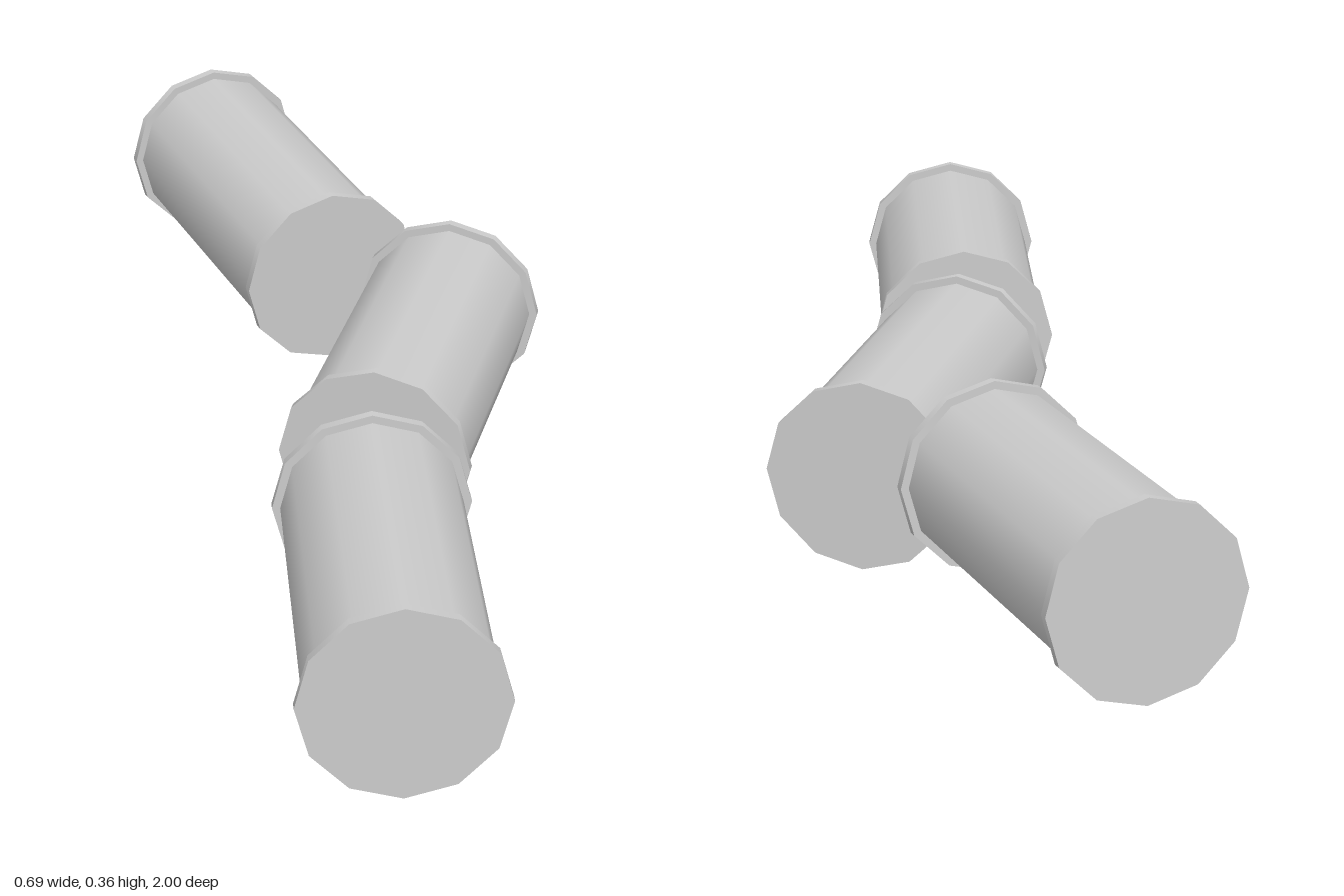
import * as THREE from 'three';

const SIDES = 12;
const LENGTH = 0.605;
const RIM = { radius: 0.157, thickness: 0.016 };
const BODY_RADIUS = 0.144;

const material = new THREE.MeshStandardMaterial({ color: 0xcccccc });

// Cylinder lying along z, with a corner pointing straight up
function lyingCylinder(name, radius, length, z, open) {
  const geometry = new THREE.CylinderGeometry(radius, radius, length, SIDES, 1, open);
  geometry.rotateX(Math.PI / 2);
  const mesh = new THREE.Mesh(geometry, material);
  mesh.name = name;
  mesh.position.z = z;
  return mesh;
}

// One closed can: smooth body with a raised, capped rim at each end
function makeCan(name, front, back) {
  const can = new THREE.Group();
  can.name = name;
  const rimZ = (LENGTH - RIM.thickness) / 2;
  can.add(
    lyingCylinder('body', BODY_RADIUS, LENGTH - 2 * RIM.thickness, 0, true),
    lyingCylinder('frontRim', RIM.radius, RIM.thickness, rimZ, false),
    lyingCylinder('backRim', RIM.radius, RIM.thickness, -rimZ, false)
  );
  // Place it midway between its end centres, with +z aimed at the front one
  const a = new THREE.Vector3(...front);
  const b = new THREE.Vector3(...back);
  can.position.copy(a).add(b).multiplyScalar(0.5);
  can.lookAt(a);
  return can;
}

export function createModel() {
  const model = new THREE.Group();
  model.name = 'cans';
  model.add(
    makeCan('frontCan', [0, 0.157, 1], [0, 0.157, 0.395]),
    makeCan('middleCan', [0.015, 0.157, 0.26], [0.193, 0.157, -0.313]),
    makeCan('backCan', [-0.01, 0.183, -0.383], [-0.2, 0.198, -0.953])
  );
  return model;
}
